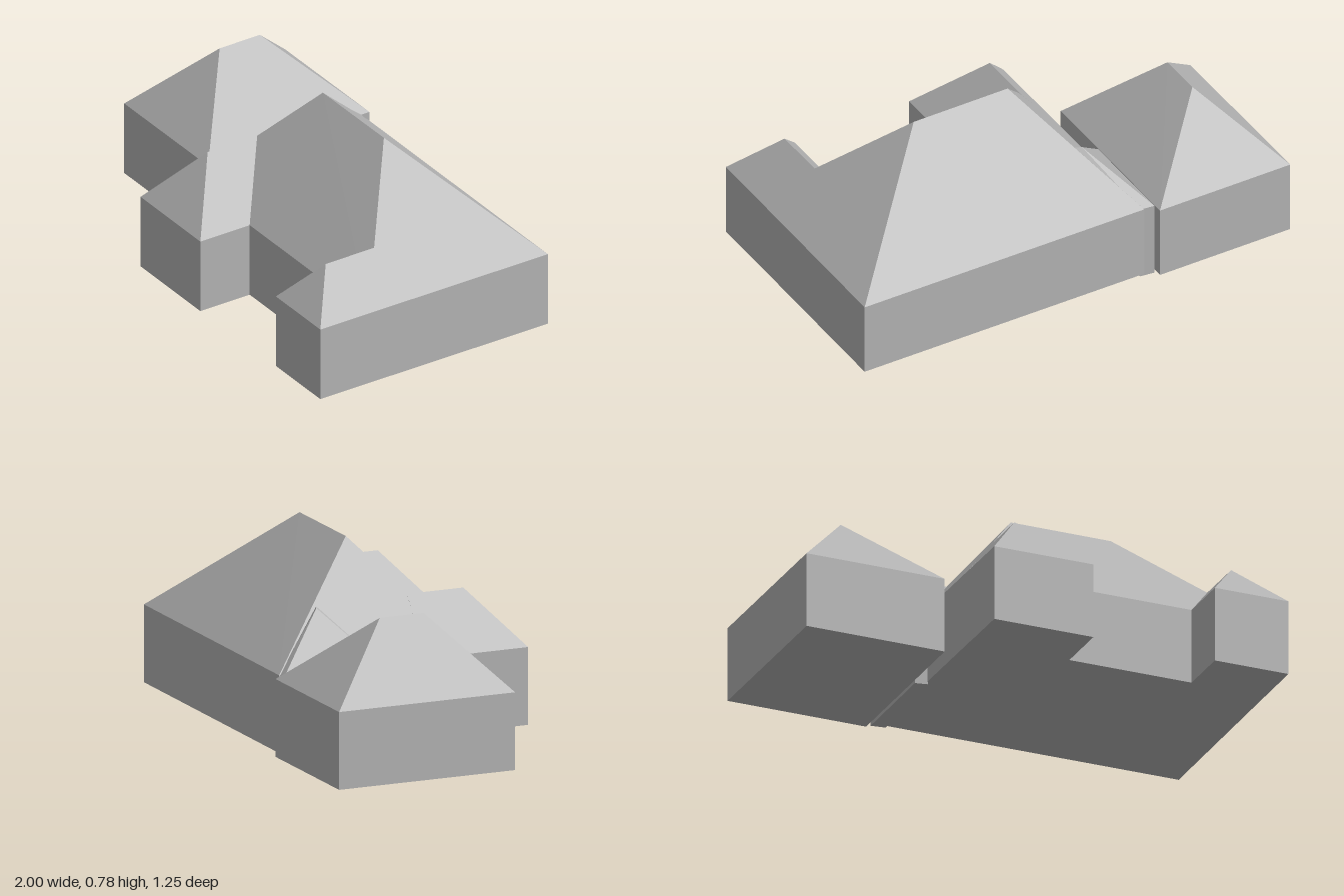
import * as THREE from 'three';
import { ConvexGeometry } from 'three/addons/geometries/ConvexGeometry.js';

const EAVE = 0.335;

export function createModel() {
  const model = new THREE.Group();
  model.name = 'house';
  const grey = new THREE.MeshStandardMaterial({ color: 0xb4b4b4 });
  grey.name = 'plain grey';

  // Hip-roofed block: footprint corners [x, z] and ridge points [x, y, z]
  function block(name, footprint, ridge, base = 0.012) {
    const points = ridge.map((p) => new THREE.Vector3(...p));
    for (const [x, z] of footprint) {
      points.push(new THREE.Vector3(x, base, z), new THREE.Vector3(x, EAVE, z));
    }
    const mesh = new THREE.Mesh(new ConvexGeometry(points), grey);
    mesh.name = name;
    model.add(mesh);
  }

  // Large central block
  block('mainHouse',
    [[-0.305, -0.553], [1, -0.48], [0.952, 0.388], [-0.345, 0.317]],
    [[0.035, 0.783, -0.07], [0.475, 0.783, -0.048]]);

  // Detached-looking side block
  block('sideWing',
    [[-0.962, -0.627], [-0.353, -0.595], [-0.393, 0.187], [-1, 0.155]],
    [[-0.703, 0.632, -0.305], [-0.712, 0.632, -0.11]]);

  // Two wings projecting forward
  block('wideFrontWing',
    [[-0.355, 0.555], [0.08, 0.58], [0.104, 0.1], [-0.334, 0.1]],
    [[-0.165, 0.563, 0.36], [-0.152, 0.563, 0.11]]);
  block('narrowFrontWing',
    [[0.617, 0.602], [0.94, 0.62], [0.961, 0.22], [0.637, 0.2]],
    [[0.762, 0.503, 0.46], [0.773, 0.503, 0.225]]);

  // Link joining the side wing, with its slightly raised roof
  block('link',
    [[-0.352, -0.556], [-0.376, -0.112], [-0.325, -0.1], [-0.29, -0.545]],
    [[-0.165, 0.555, -0.31], [-0.135, 0.555, -0.295]], 0);

  return model;
}
